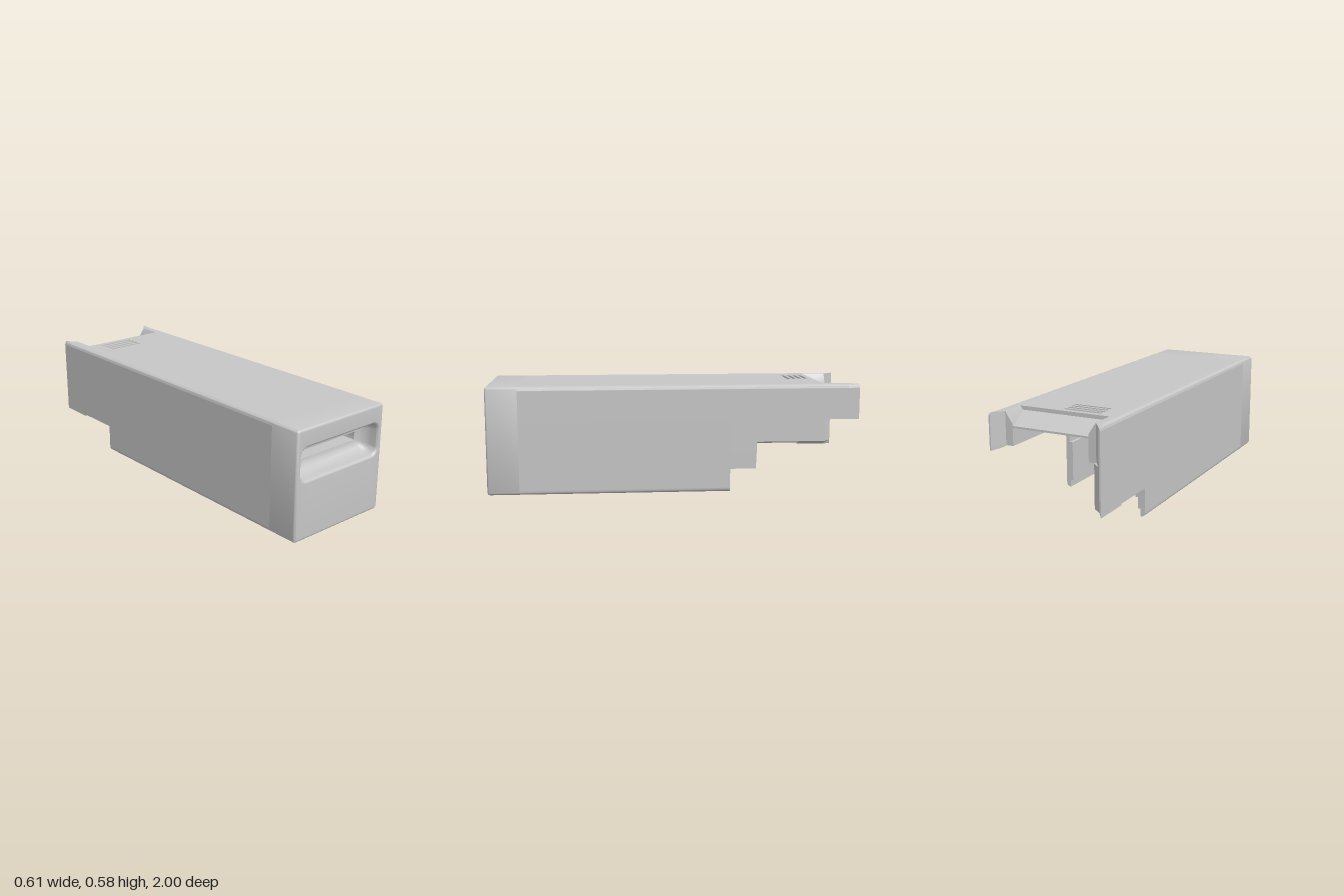
import * as THREE from 'three';
import { toCreasedNormals } from 'three/addons/utils/BufferGeometryUtils.js';

const casing = new THREE.MeshStandardMaterial({ color: 0xc6c6c6 });
casing.name = 'grey casing';

function shapeOf(pts) {
  return new THREE.Shape(pts.map(([x, y]) => new THREE.Vector2(x, y)));
}

// Counter-clockwise rounded rectangle with a fixed number of points
function roundRect(hw, hh, cy, r, z) {
  const pts = [], n = 8;
  [[1, 1], [-1, 1], [-1, -1], [1, -1]].forEach(([sx, sy], q) => {
    for (let i = 0; i <= n; i++) {
      const a = (q + i / n) * Math.PI / 2;
      pts.push([sx * (hw - r) + r * Math.cos(a), cy + sy * (hh - r) + r * Math.sin(a), z]);
    }
  });
  return pts;
}

// Closed skin through a cyclic list of rings
function loft(rings) {
  const n = rings[0].length, index = [];
  rings.forEach((_, k) => {
    const a = k * n, b = ((k + 1) % rings.length) * n;
    for (let i = 0; i < n; i++) {
      const j = (i + 1) % n;
      index.push(a + i, a + j, b + j, a + i, b + j, b + i);
    }
  });
  const geo = new THREE.BufferGeometry();
  geo.setAttribute('position', new THREE.Float32BufferAttribute(rings.flat(2), 3));
  geo.setIndex(index);
  return toCreasedNormals(geo, 0.6);
}

// Cross-section in x,y extruded along z; taper thins its back end to the outer skin
function bar(pts, side, z0, z1, taper = false) {
  const geo = new THREE.ExtrudeGeometry(shapeOf(pts.map(([x, y]) => [x * side, y])), { depth: z1 - z0, bevelEnabled: false });
  geo.translate(0, 0, z0);
  if (taper) {
    const p = geo.attributes.position;
    for (let i = 0; i < p.count; i++) {
      if (p.getZ(i) < z0 + 0.001) p.setX(i, side * Math.max(0.297, Math.abs(p.getX(i))));
    }
  }
  return toCreasedNormals(geo, 0.6);
}

// Horizontal plate with rectangular holes [x0, x1, z0, z1]
function plate([x0, x1, z0, z1], y0, y1, holes) {
  const rect = (a, b, c, d) => [[a, -d], [b, -d], [b, -c], [a, -c]];
  const shape = shapeOf(rect(x0, x1, z0, z1));
  holes.forEach(h => shape.holes.push(shapeOf(rect(...h))));
  const geo = new THREE.ExtrudeGeometry(shape, { depth: y1 - y0, bevelEnabled: false });
  return geo.rotateX(-Math.PI / 2).translate(0, y0, 0);
}

function box(x0, x1, y0, y1, z0, z1) {
  return new THREE.BoxGeometry(x1 - x0, y1 - y0, z1 - z0)
    .translate((x0 + x1) / 2, (y0 + y1) / 2, (z0 + z1) / 2);
}

function arc(cx, cy, r, a0) {
  return Array.from({ length: 7 }, (_, i) => {
    const a = a0 + i / 6 * Math.PI / 2;
    return [cx + r * Math.cos(a), cy + r * Math.sin(a)];
  });
}

export function createModel() {
  const group = new THREE.Group();
  const add = (name, geo) => {
    const mesh = new THREE.Mesh(geo, casing);
    mesh.name = name;
    group.add(mesh);
  };

  // Front end: rounded block with a funnel narrowing to a through slot
  const rings = [0.83, 0.982].map(z => roundRect(0.305, 0.29, 0.29, 0.02, z));
  for (let i = 0; i <= 5; i++) {
    const a = i / 5 * Math.PI / 2, d = 0.015 * (1 - Math.cos(a));
    rings.push(roundRect(0.305 - d, 0.29 - d, 0.29, 0.02 - d, 0.985 + 0.015 * Math.sin(a)));
  }
  // Narrow flat borders keep the front face evenly shaded
  rings.push(roundRect(0.289, 0.274, 0.29, 0.004, 1));
  rings.push(roundRect(0.288, 0.1, 0.397, 0.056, 1));
  for (let i = 0; i <= 5; i++) {
    const a = i / 5 * Math.PI / 2, d = 0.015 * Math.sin(a);
    rings.push(roundRect(0.286 - d, 0.098 - d, 0.397, 0.055 - d, 1 - 0.02 * (1 - Math.cos(a))));
  }
  for (let i = 1; i <= 7; i++) {
    const a = i / 7 * Math.PI / 2, d = 1 - Math.cos(a);
    rings.push(roundRect(0.271 - 0.061 * d, 0.083 - 0.0615 * d, 0.397, 0.04 - 0.039 * d, 0.98 - 0.08 * Math.sin(a)));
  }
  rings.push(roundRect(0.21, 0.0215, 0.397, 0.001, 0.83));
  add('frontEnd', loft(rings));

  // Inner steps behind the front end
  add('frontInnerWall', box(-0.25, 0.285, 0.1, 0.375, 0.75, 0.83));
  add('frontInnerStep', box(-0.265, 0.265, 0.04, 0.1, 0.78, 0.83));

  // Roof with vent slots, over a ceiling with a shallow pocket
  const vents = [-0.77, -0.737, -0.704, -0.671].map(z => [-0.185, 0.02, z - 0.009, z + 0.009]);
  add('roof', plate([-0.25, 0.25, -0.81, 0.83], 0.55, 0.58, vents));
  add('ceiling', plate([-0.25, 0.25, -0.81, 0.83], 0.5, 0.55, [[-0.21, 0.045, -0.795, -0.645]]));

  // Sloped finger notch at the back
  const ramp = new THREE.ExtrudeGeometry(
    shapeOf([[-0.81, 0.5], [-0.81, 0.56], [-0.94, 0.51], [-0.94, 0.5]]),
    { depth: 0.5, bevelEnabled: false });
  add('backRamp', ramp.rotateY(-Math.PI / 2).translate(0.25, 0, 0));

  // Side walls: full-height upper part, thinner stepped lower part
  const top = [[0.305, 0.39], [0.305, 0.557], ...arc(0.285, 0.56, 0.02, 0), [0.282, 0.58], [0.25, 0.58]];
  const upper = {
    left: [[0.25, 0.41], [0.285, 0.41], [0.285, 0.39], ...top],
    right: [[0.25, 0.39], ...top],
  };
  const rim = [[0.28, 0], ...arc(0.285, 0.02, 0.02, -Math.PI / 2), [0.305, 0.023], [0.305, 0.39]];
  const steps = [[0.265, 0.1], [0.265, 0.04], [0.28, 0.04]];
  const lower = {
    left: [...rim, [0.285, 0.39], [0.285, 0.26], [0.265, 0.26], ...steps.slice(1)],
    right: [...rim, [0.25, 0.39], [0.25, 0.1], ...steps],
  };
  for (const [label, side] of [['left', 1], ['right', -1]]) {
    const railBase = side > 0 ? 0.41 : 0.385;
    add(label + 'UpperWall', bar(upper[label], side, -0.94, 0.83));
    add(label + 'UpperWallTip', bar(upper[label], side, -1, -0.94, true));
    add(label + 'LowerWall', bar(lower[label], side, side > 0 ? -0.3 : -0.545, 0.83));
    add(label + 'GuideRail', bar([[0.21, railBase], [0.25, railBase], [0.25, 0.5], [0.21, 0.5]], side, -0.94, 0.83));
    add(label + 'NotchGusset', bar([[0.21, 0.5], [0.25, 0.5], [0.25, 0.58], [0.21, 0.52]], side, -0.94, -0.81));
  }

  // The right wall reaches further back, with a stepped, sloping lower edge
  const rear = edge => [[0.25, 0.17], [0.305, edge], [0.305, 0.39], [0.25, 0.39]];
  add('rightRearWall', bar(rear(0.153), -1, -0.8, -0.545));
  add('rightRearLip', bar(rear(0.145), -1, -0.96, -0.8));
  add('rightRearTip', bar(rear(0.145), -1, -1, -0.96, true));

  return group;
}
